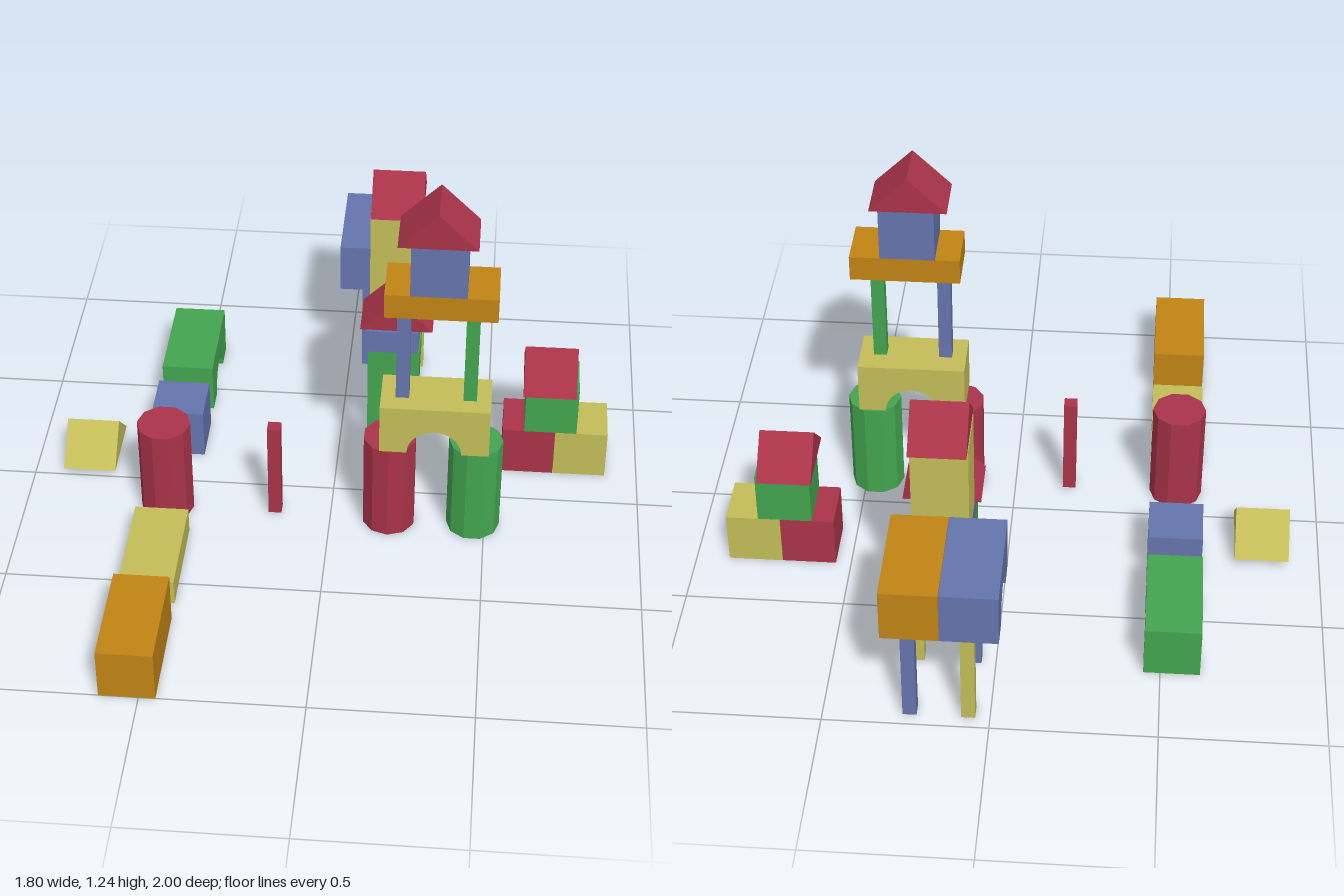
import * as THREE from 'three';

const material = (color) => new THREE.MeshStandardMaterial({ color, flatShading: true });

export function createModel() {
  const model = new THREE.Group();
  const red = material(0xa93349);
  const green = material(0x43a550);
  const blue = material(0x6474ad);
  const orange = material(0xc08414);
  const yellow = material(0xc3bd58);

  // Block module: cube edge, long edge, roof width and height
  const S = 0.172, L = 0.344, RW = 0.24, RH = 0.117, POST = 0.042;

  function add(name, geometry, mat, x, y, z) {
    const mesh = new THREE.Mesh(geometry, mat);
    mesh.name = name;
    mesh.position.set(x, y, z);
    model.add(mesh);
    return mesh;
  }

  // x and z are centres, y is the underside
  const box = (name, mat, x, y, z, w, h, d) =>
    add(name, new THREE.BoxGeometry(w, h, d), mat, x, y + h / 2, z);
  const post = (name, mat, x, y, z) => box(name, mat, x, y, z, POST, L, POST);

  // Ten-sided column
  function column(name, mat, x, z, turn) {
    const g = new THREE.CylinderGeometry(S / 2, S / 2, L, 10);
    add(name, g, mat, x, L / 2, z).rotation.y = turn;
  }

  function extrude(shape, curveSegments = 5) {
    const g = new THREE.ExtrudeGeometry(shape, { depth: S, bevelEnabled: false, curveSegments });
    return g.translate(0, 0, -S / 2);
  }

  // Triangular prism, ridge along z or x
  function roof(name, mat, x, y, z, alongX) {
    const s = new THREE.Shape();
    s.moveTo(-RW / 2, 0).lineTo(RW / 2, 0).lineTo(0, RH);
    add(name, extrude(s), mat, x, y, z).rotation.y = alongX ? Math.PI / 2 : 0;
  }

  // Bridge block with a half-round opening; y is its centre, roll stands it on end
  function arch(name, mat, x, y, z, turn = Math.PI / 2, roll = 0) {
    const s = new THREE.Shape();
    s.moveTo(L / 2, -S / 2).lineTo(L / 2, S / 2).lineTo(-L / 2, S / 2).lineTo(-L / 2, -S / 2);
    s.lineTo(-S / 2, -S / 2);
    s.absarc(0, -S / 2, S / 2, Math.PI, 0, true);
    add(name, extrude(s), mat, x, y, z).rotation.set(0, turn, roll);
  }

  // Loose blocks in a row
  box('looseLongBlock', orange, -0.535, 0, 0.828, S, S, L);
  box('looseFlatBlock', yellow, -0.535, 0, 0.418, S, 0.088, L);
  column('looseColumn', red, -0.535, 0.127, Math.PI / 2);
  box('looseCube', blue, -0.535, 0, -0.225, S, S, S);
  arch('looseArch', green, -0.535, S / 2, -0.563);
  roof('looseRoof', yellow, -0.815, 0.028, -0.115, true);
  post('loosePost', red, -0.18, 0.01, 0.127);

  // Small house
  box('houseLeftBase', yellow, 0.808, 0, -0.225, S, S, S);
  box('houseRightBase', red, 0.635, 0, -0.225, S, S, S);
  box('houseUpperCube', green, 0.705, S, -0.225, S, S, S);
  roof('houseRoof', red, 0.695, 2 * S, -0.22, true);

  // Gate tower
  column('gateRightColumn', red, 0.19, 0.13, 0);
  column('gateLeftColumn', green, 0.463, 0.13, Math.PI / 2);
  arch('gateArch', yellow, 0.332, 0.436, 0.133, 0);
  post('gateRightPost', blue, 0.227, 0.522, 0.14);
  post('gateLeftPost', green, 0.438, 0.522, 0.14);
  box('gateSlab', orange, 0.34, 0.866, 0.13, L, 0.083, S);
  box('gateCube', blue, 0.331, 0.949, 0.13, S, S, S);
  roof('gateRoof', red, 0.325, 1.121, 0.13, false);

  // Back tower: two arches on end form a round window
  arch('windowFrontArch', green, 0.175, L / 2 + 0.003, -0.39, Math.PI / 2, Math.PI / 2);
  arch('windowBackArch', orange, 0.167, L / 2 + 0.003, -0.561, Math.PI / 2, -Math.PI / 2);
  box('towerSlab', blue, 0.17, 0.347, -0.473, S, 0.084, L);
  roof('towerLowRoof', red, 0.182, 0.431, -0.396, false);
  box('towerBlock', yellow, 0.168, 0.431, -0.57, S, 0.34, S);
  roof('towerHighRoof', red, 0.17, 0.771, -0.576, true);

  // Rear bridge: two arches side by side on four posts
  arch('bridgeRightArch', blue, 0.055, 0.432, -0.828);
  arch('bridgeLeftArch', orange, 0.228, 0.432, -0.828);
  for (const [x, z, mat] of [
    [0.065, -0.71, blue], [0.24, -0.71, yellow], [0.065, -0.94, yellow], [0.24, -0.94, blue],
  ]) post('bridgePost', mat, x, 0, z);

  return model;
}
